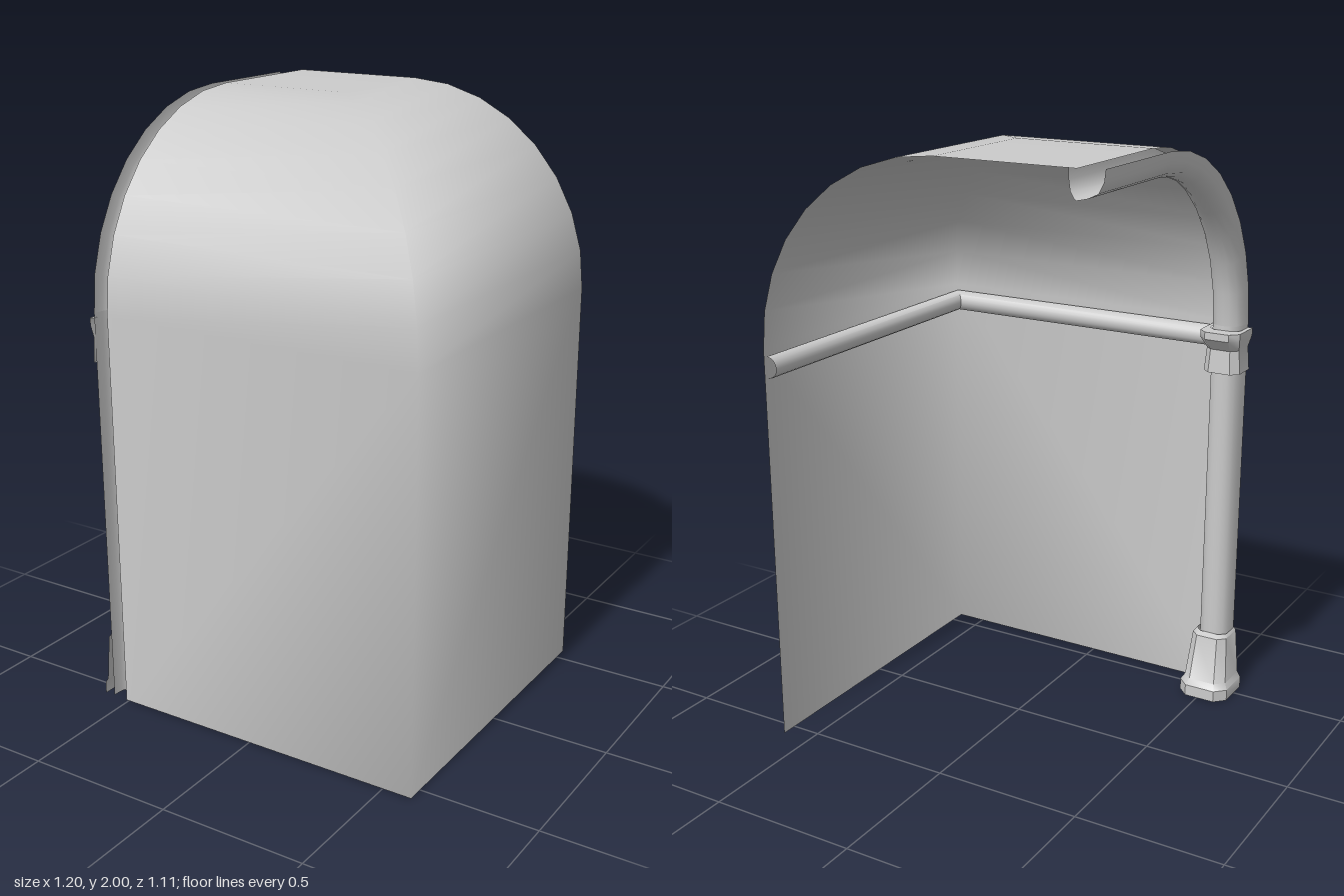
import * as THREE from 'three';
import { toCreasedNormals } from 'three/addons/utils/BufferGeometryUtils.js';

const LEFT = -0.51, RIGHT = 0.6, FRONT = 0.555, BACK = -0.555;
const SPRING = 1.35, RADIUS = 0.65, STEPS = 8;

const material = new THREE.MeshStandardMaterial({ color: 0xcccccc, side: THREE.DoubleSide });

// Skin a surface over rows of [x, y, z] points
function loft(name, rows, crease) {
  const n = rows[0].length;
  const index = [];
  for (let r = 0; r < rows.length - 1; r++) {
    for (let c = 0; c < n - 1; c++) {
      const a = r * n + c, b = a + 1, d = a + n, e = d + 1;
      index.push(a, b, e, a, e, d);
    }
  }
  let geometry = new THREE.BufferGeometry();
  geometry.setAttribute('position', new THREE.Float32BufferAttribute(rows.flat(2), 3));
  geometry.setIndex(index);
  geometry.computeVertexNormals();
  if (crease) geometry = toCreasedNormals(geometry, crease);
  const mesh = new THREE.Mesh(geometry, material);
  mesh.name = name;
  return mesh;
}

// Quarter-circle section shared by vault and rib: inset from wall, height, inward normal
const arc = [];
for (let i = 0; i <= STEPS; i++) {
  const a = (i / STEPS) * Math.PI / 2;
  arc.push({
    inset: RADIUS * (1 - Math.cos(a)),
    y: SPRING + RADIUS * Math.sin(a),
    nIn: Math.cos(a),
    nDown: Math.sin(a),
  });
}

// Two walls meeting at a corner, rising into a mitred vault with a flat crown
function makeShell() {
  const section = [{ inset: 0, y: 0 }, ...arc, { inset: FRONT - BACK, y: 2 }];
  return loft('wallsAndVault', section.map(({ inset, y }) => {
    const x = Math.max(RIGHT - inset, LEFT), z = Math.max(FRONT - inset, BACK);
    return [[LEFT, y, z], [x, y, z], [x, y, BACK]];
  }));
}

// Half-round profile: [offset across, depth from wall]
const RIB = [[-0.057, 0.005], [-0.054, 0.04], [-0.043, 0.07], [-0.02, 0.083], [0, 0.086],
  [0.02, 0.083], [0.043, 0.07], [0.054, 0.04], [0.057, 0.005]];

// Shaft up the wall
function makeColumn() {
  return loft('column', [0, SPRING].map((y) =>
    RIB.map(([u, w]) => [LEFT + u, y, FRONT - w])));
}

// Rib following the vault, ending in a pointed mitre
function makeRib() {
  const rows = arc.map(({ inset, y, nIn, nDown }) =>
    RIB.map(([u, w]) => [LEFT + u, y - w * nDown, FRONT - inset - w * nIn]));
  rows.push(RIB.map(([u, w]) => [LEFT + u, 2 - w, BACK + Math.abs(u)]));
  return loft('vaultRib', rows);
}

// Chamfered collars around the column; each level is [height, half width, depth]
function makeCollar(name, levels) {
  return loft(name, levels.map(([y, h, d]) => {
    const c = h * 0.4;
    return [[-h, 0], [-h, d - c], [-h + c, d], [h - c, d], [h, d - c], [h, 0]]
      .map(([u, w]) => [LEFT + u, y, FRONT - w]);
  }), 0.7);
}

// Half-round moulding along both walls, mitred in the corner
function makeCornice() {
  const rows = [];
  for (let i = 0; i <= 8; i++) {
    const a = -Math.PI / 2 + (i / 8) * Math.PI;
    const d = 0.012 + 0.036 * Math.cos(a), y = 1.295 + 0.036 * Math.sin(a);
    rows.push([[LEFT, y, FRONT - d], [RIGHT - d, y, FRONT - d], [RIGHT - d, y, BACK]]);
  }
  return loft('cornice', rows, 1);
}

export function createModel() {
  const model = new THREE.Group();
  model.name = 'vaultedCorner';
  model.add(
    makeShell(),
    makeColumn(),
    makeRib(),
    makeCornice(),
    makeCollar('columnBase', [[0, 0.09, 0.157], [0.04, 0.09, 0.157], [0.06, 0.078, 0.14],
      [0.22, 0.064, 0.11], [0.23, 0.057, 0.088]]),
    makeCollar('columnCapital', [[1.19, 0.057, 0.088], [1.19, 0.065, 0.105], [1.27, 0.058, 0.1],
      [1.31, 0.071, 0.135], [1.335, 0.071, 0.135], [1.335, 0.055, 0.085]]),
  );
  return model;
}
